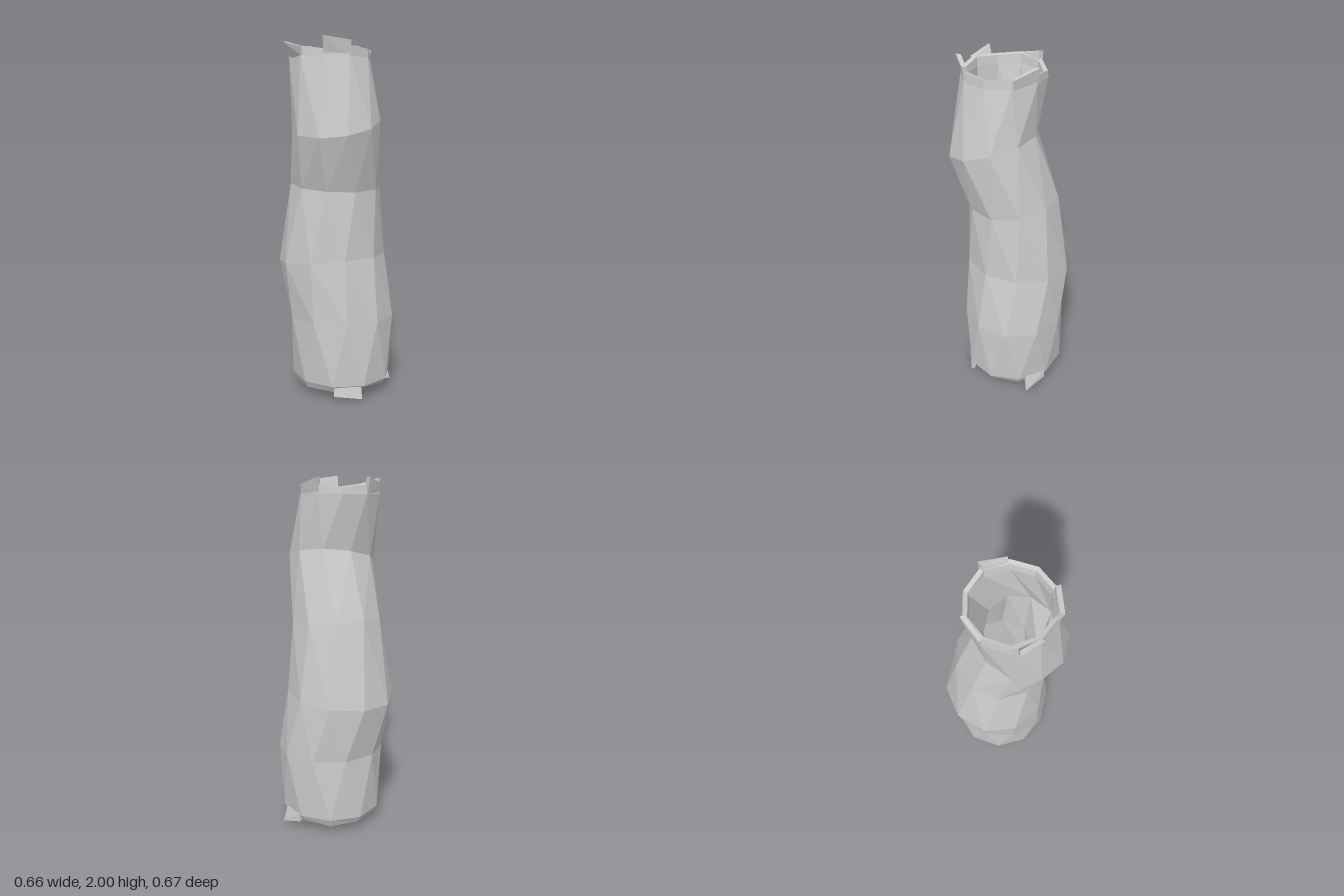
import * as THREE from 'three';
import { ConvexGeometry } from 'three/addons/geometries/ConvexGeometry.js';

const SIDES = 10;
const rad = THREE.MathUtils.degToRad;
const material = new THREE.MeshStandardMaterial({ color: 0xcccccc, flatShading: true });

// Cross-sections of the trunk, bottom to top: centre, radii, twist in degrees, height and slopes
const sections = [
  { cx: 0.02, cz: 0.01, rx: 0.285, rz: 0.298, twist: -2, y: 0.085 },
  { cx: 0.018, cz: 0.01, rx: 0.308, rz: 0.296, twist: 16, y: 0.44 },
  { cx: -0.02, cz: -0.037, rx: 0.31, rz: 0.302, twist: 24, y: 0.77, tiltX: 0.03, tiltZ: 0.1 },
  { cx: -0.015, cz: 0, rx: 0.257, rz: 0.255, twist: 35, y: 1.2, tiltZ: -0.1 },
  { cx: -0.06, cz: 0.1, rx: 0.245, rz: 0.243, twist: 60, y: 1.54, tiltX: 0.22, tiltZ: -0.2 },
  { cx: -0.062, cz: 0.03, rx: 0.228, rz: 0.23, twist: 74, y: 1.9 },
];
const bottom = sections[0];
const top = sections[sections.length - 1];

// Ring of points; inset shrinks it, lift moves it up, jag gives each point its own height
function ring(s, inset = 0, lift = 0, jag = null) {
  return Array.from({ length: SIDES }, (_, i) => {
    const a = rad(s.twist + (i * 360) / SIDES);
    const dx = (s.rx - inset) * Math.sin(a);
    const dz = (s.rz - inset) * Math.cos(a);
    const y = s.y + lift + dx * (s.tiltX || 0) + dz * (s.tiltZ || 0) + (jag ? jag[i] : 0);
    return [s.cx + dx, y, s.cz + dz];
  });
}

// Skin of triangles between successive rings
function loft(name, rings) {
  const pos = [];
  for (let r = 0; r < rings.length - 1; r++) {
    const a = rings[r];
    const b = rings[r + 1];
    for (let i = 0; i < SIDES; i++) {
      const j = (i + 1) % SIDES;
      pos.push(...a[i], ...a[j], ...b[i], ...a[j], ...b[j], ...b[i]);
    }
  }
  const geo = new THREE.BufferGeometry();
  geo.setAttribute('position', new THREE.Float32BufferAttribute(pos, 3));
  geo.computeVertexNormals();
  const mesh = new THREE.Mesh(geo, material);
  mesh.name = name;
  return mesh;
}

// Broken splinter on a rim: each end has an angle, a tip radius and a tip height
function splinter(name, s, baseY, baseR, ends) {
  const pts = [];
  for (const [deg, tipR, tipY] of ends) {
    const a = rad(deg);
    for (const [r, y] of [[baseR, baseY], [baseR - 0.03, baseY], [tipR, tipY], [tipR - 0.025, tipY]]) {
      pts.push(new THREE.Vector3(s.cx + r * Math.sin(a), y, s.cz + r * Math.cos(a)));
    }
  }
  const mesh = new THREE.Mesh(new ConvexGeometry(pts), material);
  mesh.name = name;
  return mesh;
}

export function createModel() {
  const model = new THREE.Group();
  model.name = 'hollowLog';

  const topJag = [0, 0.01, -0.01, 0.005, 0.015, 0, 0.01, -0.01, 0.01, 0];
  const bottomJag = [0.02, 0.005, -0.005, 0, -0.01, 0, 0, -0.01, -0.005, 0];
  const wall = 0.045;

  const outerTop = ring(top, 0.004, 0.045, topJag);
  const innerTop = ring(top, 0.026, 0.04, topJag);
  const outerBottom = ring(bottom, 0.02, -0.035, bottomJag);
  const innerBottom = ring(bottom, wall, -0.035, bottomJag);

  // Bark, hollow inside and the two broken rims
  model.add(loft('outerBark', [outerBottom, ...sections.map((s) => ring(s)), outerTop]));
  const inside = sections.map((s) => ring(s, s === top ? 0.032 : wall)).reverse();
  model.add(loft('innerWall', [innerTop, ...inside, innerBottom]));
  model.add(loft('topRim', [outerTop, innerTop]));
  model.add(loft('bottomRim', [innerBottom, outerBottom]));

  // Splinters standing up from the top rim
  [
    [[-98, 0.272, 1.985], [-68, 0.24, 1.95]],
    [[-35, 0.25, 2.0], [2, 0.238, 1.98]],
    [[76, 0.235, 1.95], [112, 0.238, 1.99]],
    [[-142, 0.238, 1.955], [-176, 0.24, 1.99]],
  ].forEach((ends, i) => model.add(splinter(`topSplinter${i + 1}`, top, 1.9, 0.226, ends)));

  // Splinters hanging from the bottom rim
  [
    [[-35, 0.295, 0.03], [-4, 0.3, 0.01]],
    [[77, 0.305, 0.0], [104, 0.285, 0.045]],
  ].forEach((ends, i) => model.add(splinter(`bottomSplinter${i + 1}`, bottom, 0.09, 0.282, ends)));

  return model;
}
